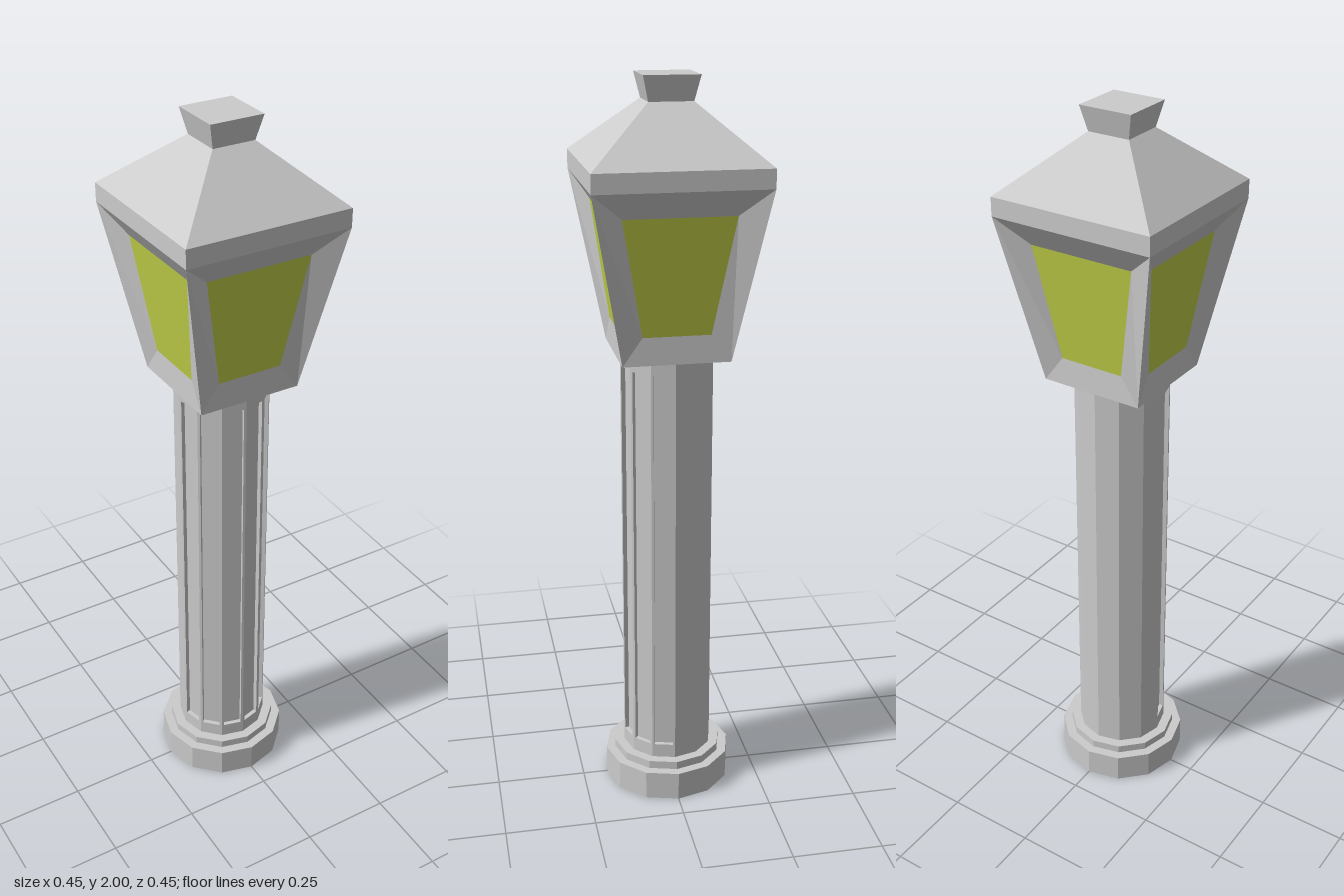
import * as THREE from 'three';
import { mergeGeometries } from 'three/addons/utils/BufferGeometryUtils.js';

const grey = new THREE.MeshStandardMaterial({ color: 0xcccccc, flatShading: true });
const glass = new THREE.MeshStandardMaterial({ color: 0xc2d048, flatShading: true });

// Four corners, counter-clockwise from the front: a bottom and a top edge.
const loop = (y0, w0, z0, y1, w1, z1) => [[-w0, y0, z0], [w0, y0, z0], [w1, y1, z1], [-w1, y1, z1]];

// Bands between successive four-corner loops, optionally closed at the last one.
function bands(loops, close) {
  const pos = [];
  const quad = (a, b, c, d) => pos.push(...a, ...b, ...c, ...a, ...c, ...d);
  for (let k = 0; k + 1 < loops.length; k++) {
    const o = loops[k], n = loops[k + 1];
    for (let i = 0; i < 4; i++) {
      const j = (i + 1) % 4;
      quad(o[i], o[j], n[j], n[i]);
    }
  }
  if (close) quad(...loops[loops.length - 1]);
  const g = new THREE.BufferGeometry();
  g.setAttribute('position', new THREE.Float32BufferAttribute(pos, 3));
  g.computeVertexNormals();
  return g;
}

export function createModel() {
  const model = new THREE.Group();
  const add = (name, geometry, material = grey) => {
    const mesh = new THREE.Mesh(geometry, material);
    mesh.name = name;
    model.add(mesh);
    return mesh;
  };
  // Twelve-sided disc between two heights
  const disc = (name, r, y0, y1) =>
    add(name, new THREE.CylinderGeometry(r, r, y1 - y0, 12).translate(0, (y0 + y1) / 2, 0));
  // Square frustum given by half widths
  const square = (name, h0, h1, y0, y1) =>
    add(name, new THREE.CylinderGeometry(h1 * Math.SQRT2, h0 * Math.SQRT2, y1 - y0, 4)
      .rotateY(Math.PI / 4).translate(0, (y0 + y1) / 2, 0));

  // Foot
  disc('base', 0.18, 0, 0.082);
  disc('baseCollar', 0.154, 0.082, 0.105);

  // Shaft: recessed flutes on the front six faces, plain faces behind
  const R = 0.127, y0 = 0.105, y1 = 1.286;
  const half = R * Math.sin(Math.PI / 12), flat = R * Math.cos(Math.PI / 12);
  const faces = [];
  for (let i = 0; i < 12; i++) {
    const loops = [loop(y0, half, flat, y1, half, flat)];
    if (i < 6) {
      loops.push(loop(0.145, 0.026, flat, 1.25, 0.026, flat));
      loops.push(loop(0.145, 0.026, flat - 0.012, 1.25, 0.026, flat - 0.012));
    }
    faces.push(bands(loops, true).rotateY((i - 2.5) * Math.PI / 6));
  }
  add('flutedShaft', mergeGeometries(faces));

  // Lantern: four splayed sides with bevelled frames around the panes
  const outer = loop(1.286, 0.143, 0.143, 1.74, 0.227, 0.227);
  const pane = loop(1.36, 0.09, 0.14, 1.67, 0.146, 0.18);
  for (let i = 0; i < 4; i++) {
    add('lanternFrame', bands([outer, pane], false)).rotation.y = i * Math.PI / 2;
    add('windowPane', bands([pane], true), glass).rotation.y = i * Math.PI / 2;
  }
  add('lanternFloor', new THREE.PlaneGeometry(0.286, 0.286).rotateX(Math.PI / 2).translate(0, 1.286, 0));

  // Roof
  square('eaves', 0.227, 0.227, 1.74, 1.79);
  square('roof', 0.227, 0.058, 1.79, 1.935);
  square('roofCap', 0.058, 0.073, 1.935, 2);

  return model;
}
